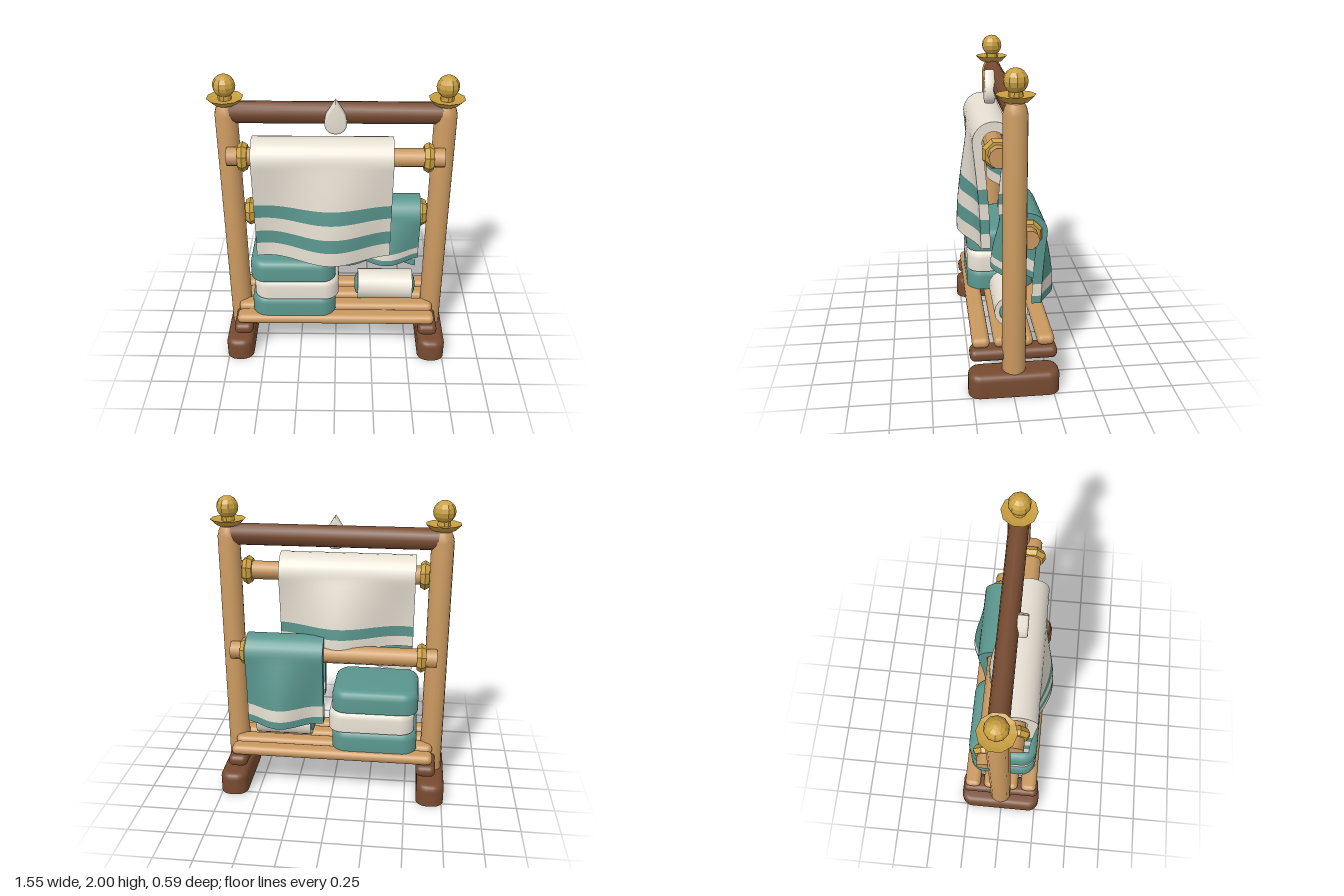
import * as THREE from 'three';
import { toCreasedNormals } from 'three/addons/utils/BufferGeometryUtils.js';
import { RoundedBoxGeometry } from 'three/addons/geometries/RoundedBoxGeometry.js';

const mat = (color, flatShading = false) => new THREE.MeshStandardMaterial({ color, flatShading });
const WOOD = mat(0xc9985f), BROWN = mat(0x764a30), GOLD = mat(0xc99f40, true);
const TEAL = mat(0x5a968e), CREAM = mat(0xe6dfd2);
const Z0 = -0.008; // depth of the frame's middle plane

function add(parent, name, geo, material, x = 0, y = 0, z = 0) {
  const mesh = new THREE.Mesh(geo, material);
  mesh.name = name;
  mesh.position.set(x, y, z);
  parent.add(mesh);
  return mesh;
}

// cylinder lying along x
const bar = (r, length, sides) =>
  toCreasedNormals(new THREE.CylinderGeometry(r, r, length, sides).rotateZ(Math.PI / 2), 0.9);

const lathe = (points, sides) =>
  new THREE.LatheGeometry(points.map(([r, y]) => new THREE.Vector2(r, y)), sides);

// block standing on y = 0: rounded plan, rounded top edge, flat base
function slab(w, h, d, corner, bevel) {
  const a = w / 2 - bevel, b = d / 2 - bevel, r = corner - bevel;
  const s = new THREE.Shape();
  s.absarc(a - r, b - r, r, 0, Math.PI / 2);
  s.absarc(r - a, b - r, r, Math.PI / 2, Math.PI);
  s.absarc(r - a, r - b, r, Math.PI, Math.PI * 1.5);
  s.absarc(a - r, r - b, r, Math.PI * 1.5, Math.PI * 2);
  const geo = new THREE.ExtrudeGeometry(s, {
    depth: h - bevel, bevelSize: bevel, bevelThickness: bevel, bevelSegments: 4, curveSegments: 6,
  });
  const p = geo.attributes.position;
  for (let i = 0; i < p.count; i++) p.setZ(i, Math.max(0, p.getZ(i)));
  geo.rotateX(-Math.PI / 2);
  return toCreasedNormals(geo, 0.6);
}

// Towel draped over a rod. Bands run down the front (+d) and the back (-d),
// with d = 0 where the front leaves the rod.
function towel(name, o) {
  const group = new THREE.Group();
  group.name = name;
  const R = o.radius - o.thick / 2, arc = Math.PI * R;
  const w = o.x1 - o.x0, xm = (o.x0 + o.x1) / 2;
  const fold = (x) => 0.018 + o.wave * Math.cos((2 * Math.PI * (x - o.crest)) / o.period);
  const hang = (drop, len) => Math.sin((Math.min(1, drop / len) * Math.PI) / 2);
  const frontLen = o.y - o.front[o.front.length - 1];
  const backLen = o.y - o.back[o.back.length - 1];
  // edges of the bands from the back hem over the rod to the front hem
  const edges = [
    ...o.back.map((y) => -arc - (o.y - y)).reverse(),
    ...o.front.map((y) => o.y - y),
  ];
  for (let k = 0; k < edges.length - 1; k++) {
    const len = edges[k + 1] - edges[k], mid = (edges[k + 1] + edges[k]) / 2;
    const geo = new THREE.BoxGeometry(w, o.thick, len, 28, 1, Math.max(2, Math.ceil(len / 0.025)));
    const p = geo.attributes.position;
    for (let i = 0; i < p.count; i++) {
      const x = p.getX(i) + xm, r = R + p.getY(i), d = p.getZ(i) + mid;
      if (d > 0) {
        p.setXYZ(i, x, o.y - d, o.z + r + fold(x) * hang(d, frontLen));
      } else if (d > -arc) {
        const t = -d / R;
        p.setXYZ(i, x, o.y + r * Math.sin(t), o.z + r * Math.cos(t));
      } else {
        const drop = -d - arc;
        p.setXYZ(i, x, o.y - drop, o.z - r - fold(x) * hang(drop, backLen));
      }
    }
    geo.computeVertexNormals();
    const striped = (k - (o.back.length - 1)) % 2 !== 0;
    add(group, striped ? 'towelStripe' : 'towelCloth', geo, striped ? o.stripe : o.cloth);
  }
  return group;
}

export function createModel() {
  const model = new THREE.Group();
  model.name = 'towelRack';

  for (const side of [-1, 1]) {
    const end = new THREE.Group();
    end.name = side > 0 ? 'leftEnd' : 'rightEnd';
    end.position.set(side * 0.67, 0, Z0);
    model.add(end);
    add(end, 'foot', slab(0.185, 0.15, 0.565, 0.075, 0.04), BROWN);
    add(end, 'post', toCreasedNormals(lathe(
      [[0, 0.1], [0.073, 0.1], [0.071, 1.75], [0.062, 1.785], [0.05, 1.81], [0, 1.83]], 16), 0.7), WOOD);
    add(end, 'shelfBearer', new RoundedBoxGeometry(0.13, 0.08, 0.54, 3, 0.036), BROWN, -side * 0.038, 0.25);
    // flared collar and ball
    add(end, 'finialCollar', lathe(
      [[0, 1.815], [0.075, 1.82], [0.112, 1.857], [0.085, 1.85], [0.042, 1.845], [0.04, 1.88]], 10), GOLD);
    add(end, 'finialBall', new THREE.SphereGeometry(0.07, 10, 8), GOLD, 0, 1.93);
  }

  // top beam, slightly flattened front to back
  add(model, 'topBeam', bar(0.07, 1.38, 12), BROWN, 0, 1.76, Z0).scale.z = 0.88;

  // two towel rods with gold rings
  for (const [name, y, z] of [['frontRod', 1.5, 0.08], ['backRod', 1, -0.096]]) {
    add(model, name, bar(0.06, 1.345, 10), WOOD, 0, y, z);
    for (const side of [-1, 1]) {
      const ring = new THREE.TorusGeometry(0.061, 0.034, 6, 8).rotateY(Math.PI / 2).rotateX(Math.PI / 8);
      add(model, name + 'Ring', ring, GOLD, side * 0.573, y, z);
    }
  }

  // shelf slats
  for (let i = 0; i < 4; i++)
    add(model, 'shelfSlat', new RoundedBoxGeometry(1.35, 0.07, 0.11, 2, 0.034), WOOD, 0, 0.325, Z0 + 0.2 - i * 0.1333);

  // droplet ornament on the beam
  const drop = new THREE.Shape();
  drop.moveTo(0, 0.094);
  drop.bezierCurveTo(-0.02, 0.05, -0.056, 0.02, -0.056, -0.035);
  drop.bezierCurveTo(-0.056, -0.11, 0.056, -0.11, 0.056, -0.035);
  drop.bezierCurveTo(0.056, 0.02, 0.02, 0.05, 0, 0.094);
  const dropGeo = new THREE.ExtrudeGeometry(drop, {
    depth: 0.035, bevelSize: 0.012, bevelThickness: 0.015, bevelSegments: 3, curveSegments: 10,
  });
  add(model, 'droplet', toCreasedNormals(dropGeo, 0.6), CREAM, 0, 1.764, 0.055);

  // hanging towels
  model.add(towel('largeTowel', {
    x0: -0.515, x1: 0.355, y: 1.5, z: 0.08, radius: 0.13, thick: 0.06,
    wave: 0.066, crest: -0.03, period: 0.82, cloth: CREAM, stripe: TEAL,
    front: [1.21, 1.114, 1.013, 0.918, 0.82], back: [1.18, 1.11, 1.04],
  }));
  model.add(towel('smallTowel', {
    x0: 0.055, x1: 0.56, y: 1, z: -0.096, radius: 0.125, thick: 0.06,
    wave: 0.056, crest: 0.34, period: 0.52, cloth: TEAL, stripe: CREAM,
    front: [0.775, 0.73, 0.69], back: [0.66, 0.58, 0.53],
  }));

  // pile of folded towels
  [[-0.283, TEAL], [-0.262, CREAM], [-0.283, TEAL]].forEach(([x, m], i) =>
    add(model, 'foldedTowel', slab(0.565, 0.145, 0.46, 0.1, 0.05), m, x, 0.358 + i * 0.143, -0.004));

  // rolled towel with a domed core
  const roll = new THREE.Group();
  roll.name = 'rolledTowel';
  roll.position.set(0.34, 0.463, -0.008);
  model.add(roll);
  add(roll, 'rollWrap', bar(0.105, 0.375, 16), CREAM);
  add(roll, 'rollCore', lathe(
    [[0, -0.21], [0.04, -0.208], [0.064, -0.2], [0.076, -0.185],
      [0.076, 0.185], [0.064, 0.2], [0.04, 0.208], [0, 0.21]], 16).rotateZ(Math.PI / 2), TEAL);

  return model;
}
